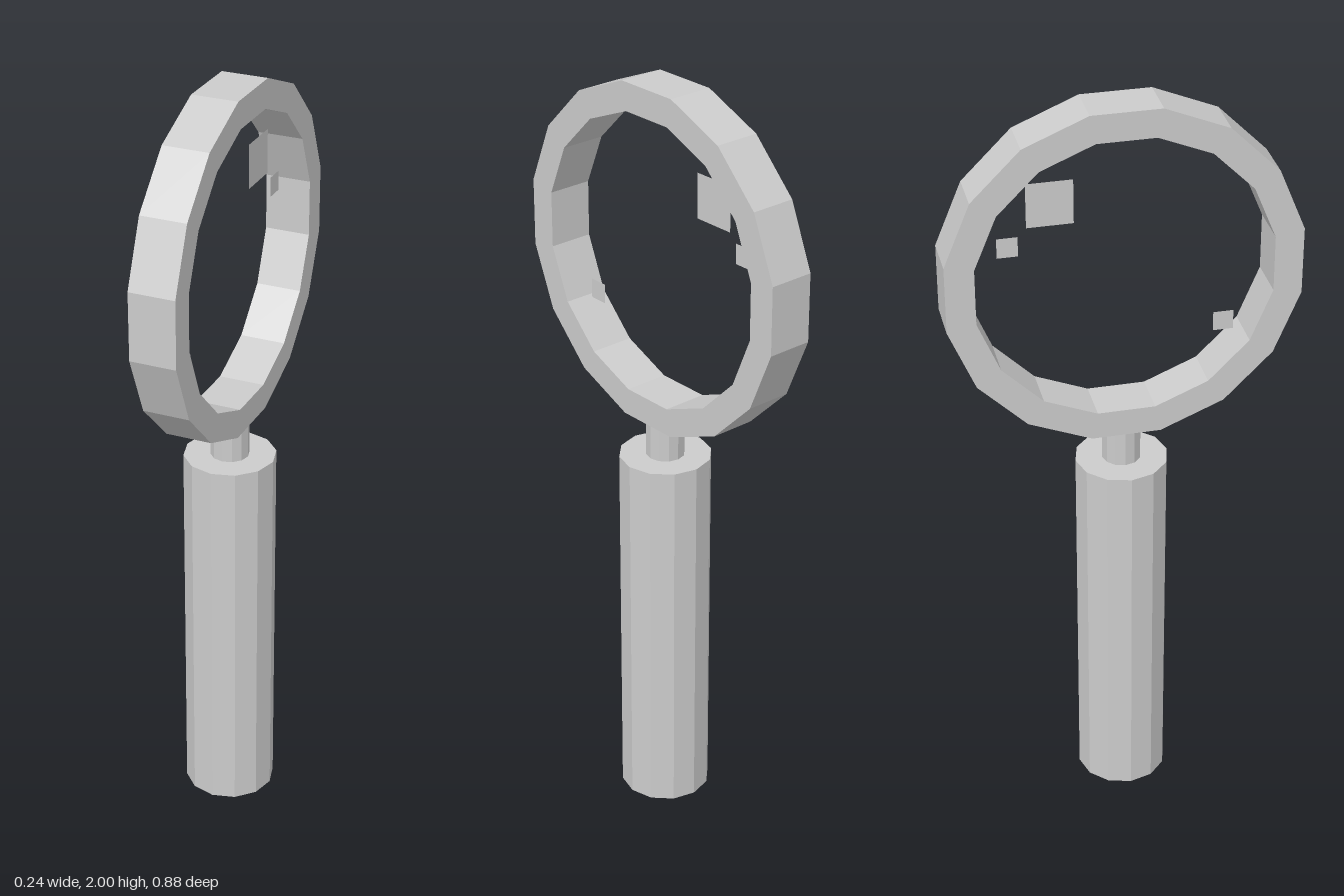
import * as THREE from 'three';

export function createModel() {
  const group = new THREE.Group();
  const material = new THREE.MeshStandardMaterial({ color: 0xcccccc, flatShading: true });
  const thinMaterial = new THREE.MeshStandardMaterial({ color: 0xcccccc, side: THREE.DoubleSide });
  const ringY = 1.558;

  const add = (name, geometry, x, y, z, mat = material) => {
    const mesh = new THREE.Mesh(geometry, mat);
    mesh.name = name;
    mesh.position.set(x, y, z);
    group.add(mesh);
    return mesh;
  };

  // Sixteen-sided polygon with flats at the top, bottom and sides
  const polygon = (radius) => Array.from({ length: 16 }, (_, i) => {
    const a = (i + 0.5) * Math.PI / 8;
    return new THREE.Vector2(radius * Math.cos(a), radius * Math.sin(a));
  });

  // Faceted lens frame, facing sideways along x
  const frame = new THREE.Shape(polygon(0.451));
  frame.holes.push(new THREE.Path(polygon(0.377)));
  const frameGeometry = new THREE.ExtrudeGeometry(frame, { depth: 0.12, bevelEnabled: false });
  frameGeometry.translate(0, 0, -0.06).rotateY(Math.PI / 2);
  add('lensFrame', frameGeometry, 0, ringY, 0);

  // Grip and the thin neck joining it to the frame
  add('handle', new THREE.CylinderGeometry(0.12, 0.12, 1.015, 12), 0, 0.5075, 0);
  add('neck', new THREE.CylinderGeometry(0.05, 0.05, 0.115, 12), 0, 1.0675, 0);

  // Square glints floating in the lens plane: size, y, z
  const glints = [[0.116, 1.755, -0.174], [0.052, 1.65, -0.279], [0.052, 1.379, 0.261]];
  for (const [size, y, z] of glints) {
    add('lensGlint', new THREE.PlaneGeometry(size, size).rotateY(Math.PI / 2), 0, y, z, thinMaterial);
  }

  return group;
}
